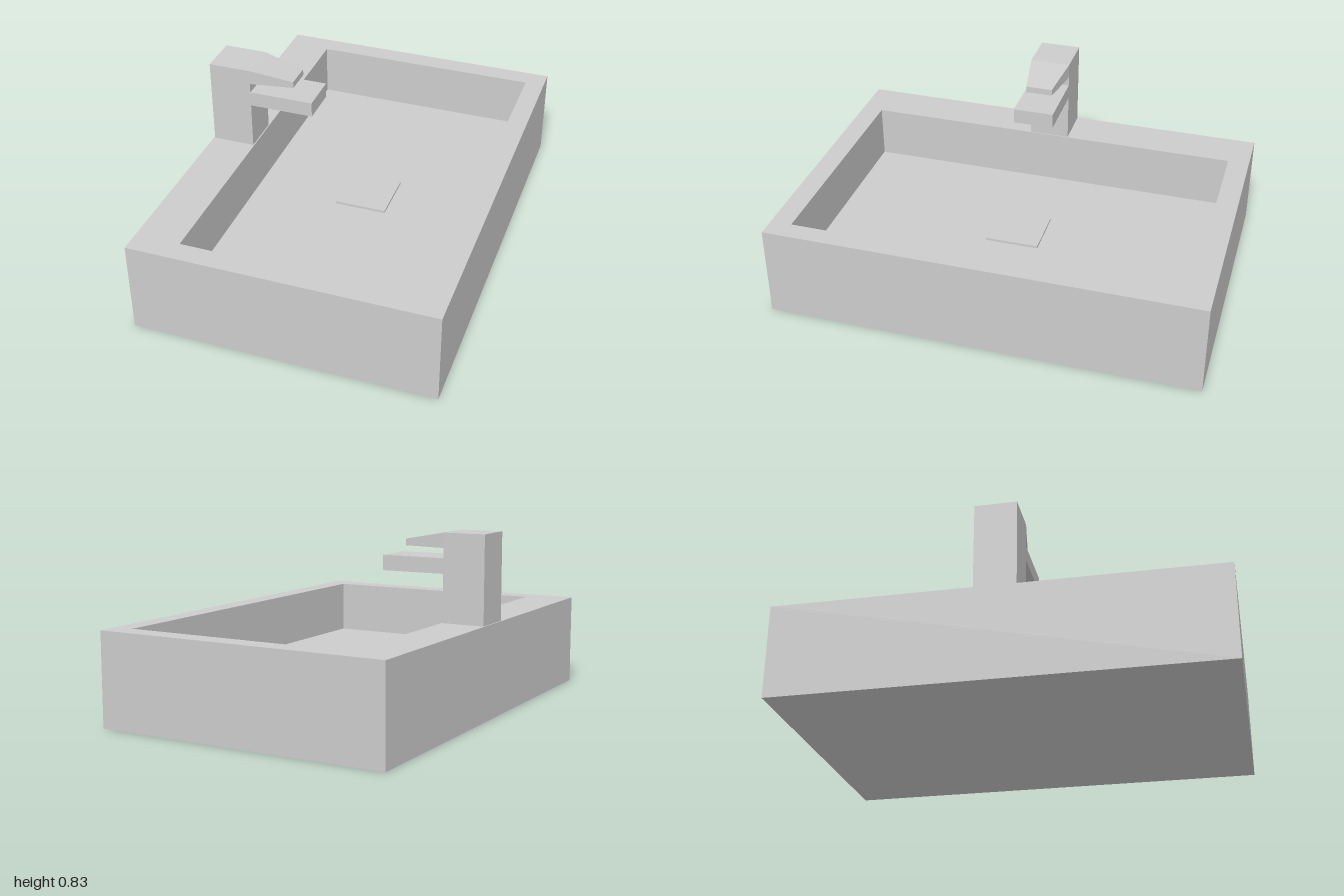
import * as THREE from 'three';

const material = new THREE.MeshStandardMaterial({ color: 0xcccccc, flatShading: true });

function addMesh(parent, name, geometry) {
  const mesh = new THREE.Mesh(geometry, material);
  mesh.name = name;
  parent.add(mesh);
  return mesh;
}

// Box given by its extents along x and y, and its half depth along z
function addBlock(parent, name, x0, x1, y0, y1, halfZ) {
  const mesh = addMesh(parent, name, new THREE.BoxGeometry(x1 - x0, y1 - y0, 2 * halfZ));
  mesh.position.set((x0 + x1) / 2, (y0 + y1) / 2, 0);
  return mesh;
}

const rectangle = (x0, x1, halfZ) => [
  new THREE.Vector2(x0, -halfZ), new THREE.Vector2(x1, -halfZ),
  new THREE.Vector2(x1, halfZ), new THREE.Vector2(x0, halfZ),
];

export function createModel() {
  const sink = new THREE.Group();
  sink.name = 'sink';

  const rimY = 0.432, floorY = 0.18;

  // Basin: walls with a rectangular opening, wider on the tap side
  const basin = new THREE.Group();
  basin.name = 'basin';
  sink.add(basin);
  const outline = new THREE.Shape(rectangle(-0.695, 0.695, 1));
  outline.holes.push(new THREE.Path(rectangle(-0.487, 0.602, 0.9)));
  const walls = new THREE.ExtrudeGeometry(outline, { depth: rimY, bevelEnabled: false });
  walls.rotateX(-Math.PI / 2);
  addMesh(basin, 'basinWalls', walls);
  addBlock(basin, 'basinFloor', -0.487, 0.602, 0, floorY, 0.9);

  // Drain: square cover raised on a small stem
  const drain = new THREE.Group();
  drain.name = 'drain';
  sink.add(drain);
  addBlock(drain, 'drainStem', 0.005, 0.105, floorY, 0.212, 0.05);
  addBlock(drain, 'drainCover', -0.065, 0.175, 0.212, 0.223, 0.125);

  // Tap: column, straight spout and a tapering lever above it
  const tap = new THREE.Group();
  tap.name = 'tap';
  sink.add(tap);
  const tapTop = 0.835, half = 0.095, front = -0.492;
  addBlock(tap, 'tapColumn', -0.69, front, rimY, tapTop, half);
  addBlock(tap, 'tapSpout', front, -0.19, 0.652, 0.722, half);

  const lever = addBlock(tap, 'tapLever', front, -0.29, 0.767, tapTop, half);
  const p = lever.geometry.attributes.position;
  for (let i = 0; i < p.count; i++) {
    if (p.getX(i) < 0) continue;
    // narrow the free end and lower its top edge
    p.setZ(i, p.getZ(i) * 0.66);
    if (p.getY(i) > 0) p.setY(i, p.getY(i) - 0.038);
  }
  lever.geometry.computeVertexNormals();

  return sink;
}
